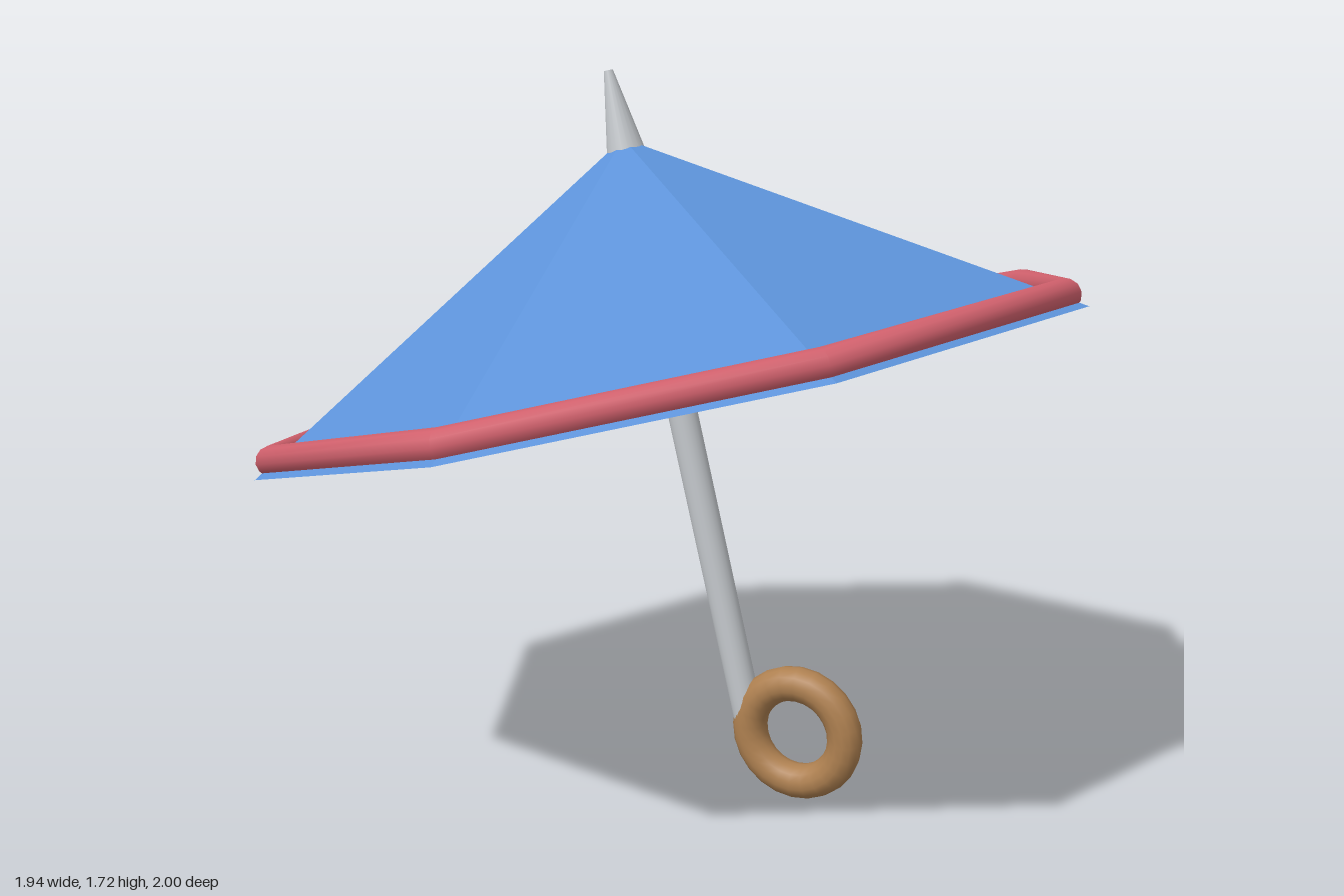
import * as THREE from 'three';

const TILT = 0.24;

export function createModel() {
  const material = (name, color, flatShading = false) => {
    const m = new THREE.MeshStandardMaterial({ color, flatShading });
    m.name = name;
    return m;
  };
  const blue = material('blue fabric', 0x5c92d8, true);
  const red = material('red trim', 0xd0606c);
  const metal = material('grey metal', 0xc4c8cc);
  const wood = material('brown wood', 0xae8050);

  // Everything shares one tilted axis, with its origin at the middle of the canopy's base
  const umbrella = new THREE.Group();
  umbrella.name = 'umbrella';
  umbrella.position.y = 1;
  umbrella.rotation.z = TILT;

  const add = (name, geometry, mat, x, y) => {
    const mesh = new THREE.Mesh(geometry, mat);
    mesh.name = name;
    mesh.position.set(x, y, 0);
    umbrella.add(mesh);
  };

  // Eight-sided canopy with a closed underside
  add('canopy', new THREE.ConeGeometry(1, 0.58, 8), blue, 0, 0.29);

  // Rim trim following the same eight corners, just breaking through the underside
  const trim = new THREE.TorusGeometry(0.955, 0.035, 12, 8).rotateX(Math.PI / 2);
  add('rimTrim', trim, red, 0, 0.033);

  // Spike on top, sunk a little into the canopy
  add('tip', new THREE.CylinderGeometry(0.011, 0.052, 0.225, 20), metal, 0, 0.6275);

  // Shaft from inside the canopy down to the handle
  add('shaft', new THREE.CylinderGeometry(0.036, 0.036, 1.06, 20), metal, 0, -0.33);

  // Ring handle
  add('handle', new THREE.TorusGeometry(0.123, 0.042, 14, 24), wood, 0.12, -0.889);

  const model = new THREE.Group();
  model.name = 'tiltedUmbrella';
  model.add(umbrella);
  return model;
}
